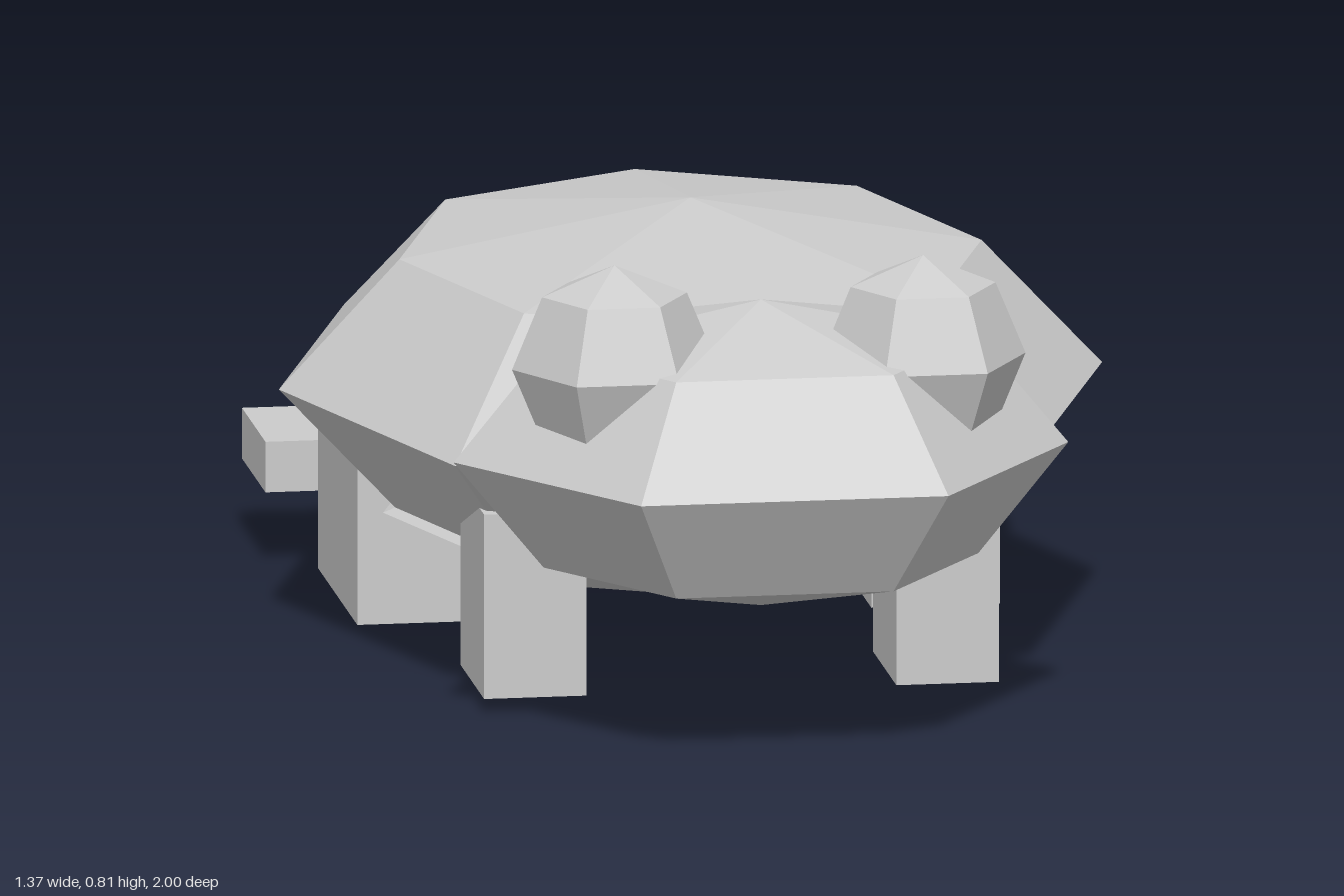
import * as THREE from 'three';

const material = new THREE.MeshStandardMaterial({ color: 0xcccccc, flatShading: true });

// Faceted ellipsoid: centre, radii and number of sides
function ellipsoid(name, sides, [x, y, z], [rx, ry, rz]) {
  const geometry = new THREE.SphereGeometry(1, sides, 4).scale(rx, ry, rz);
  const mesh = new THREE.Mesh(geometry, material);
  mesh.name = name;
  mesh.position.set(x, y, z);
  return mesh;
}

// Box given by its extents, mirrored to the other side when side is -1
function block(name, side, [x0, x1], [y0, y1], [z0, z1]) {
  const mesh = new THREE.Mesh(new THREE.BoxGeometry(x1 - x0, y1 - y0, z1 - z0), material);
  mesh.name = name;
  mesh.position.set(side * (x0 + x1) / 2, (y0 + y1) / 2, (z0 + z1) / 2);
  return mesh;
}

export function createModel() {
  const model = new THREE.Group();
  model.name = 'turtle';

  // Shell, belly plate and head
  model.add(
    ellipsoid('shell', 8, [0, 0.43, -0.14], [0.683, 0.3, 0.86]),
    ellipsoid('belly', 8, [0, 0.217, -0.14], [0.51, 0.086, 0.635]),
    ellipsoid('head', 6, [0, 0.473, 0.63], [0.51, 0.257, 0.427])
  );

  // Eyes, legs and hind feet in mirrored pairs
  for (const [label, side] of [['left', 1], ['right', -1]]) {
    model.add(
      ellipsoid(label + 'Eye', 6, [side * 0.256, 0.645, 0.715], [0.17, 0.17, 0.17]),
      block(label + 'FrontLeg', side, [0.257, 0.427], [0.025, 0.335], [0.16, 0.417]),
      block(label + 'HindLeg', side, [0.32, 0.533], [0, 0.345], [-0.7, -0.27]),
      block(label + 'HindFoot', side, [0.32, 0.62], [0.13, 0.215], [-0.957, -0.7])
    );
  }
  return model;
}
